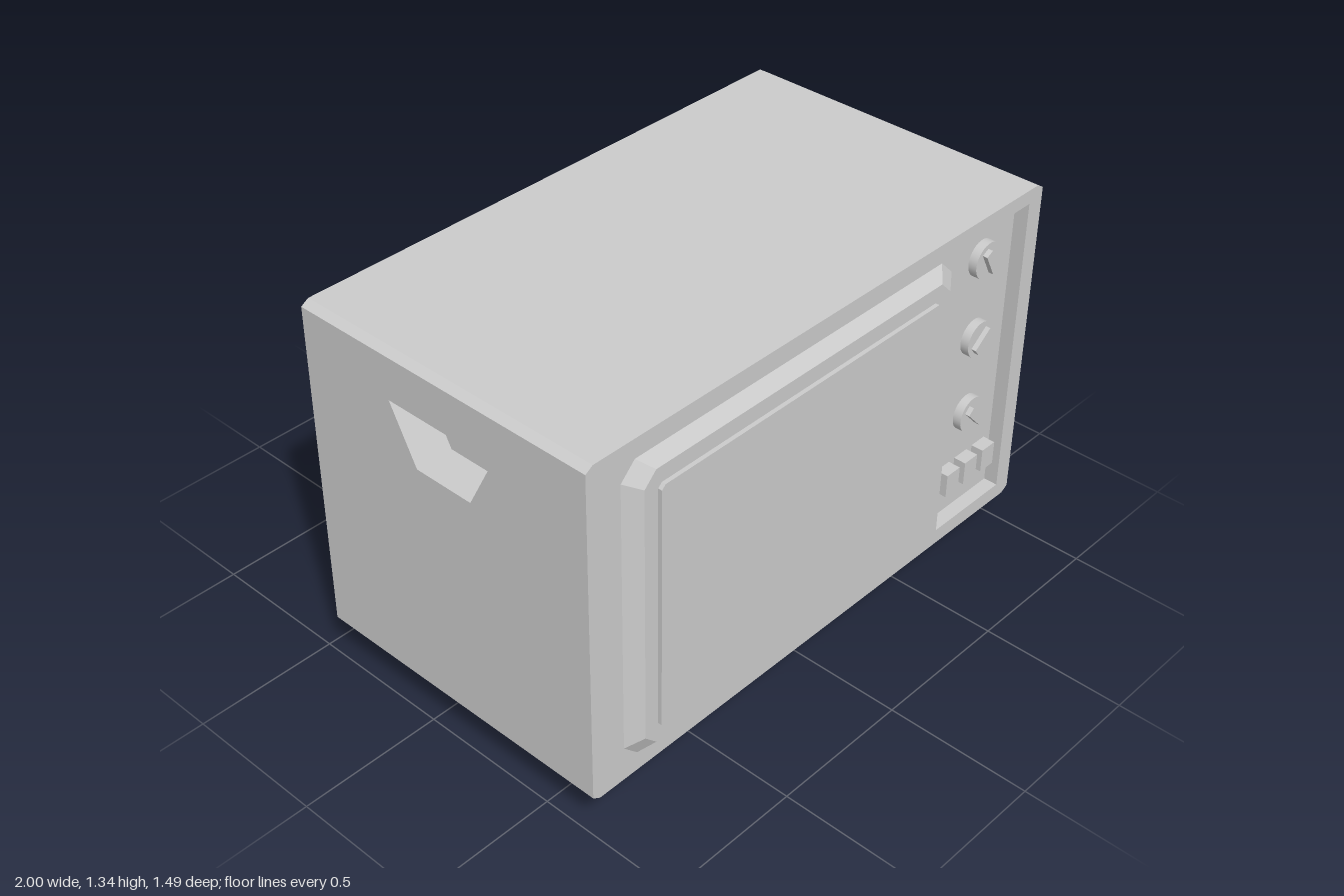
import * as THREE from 'three';

const flat = new THREE.MeshStandardMaterial({ color: 0xcccccc, flatShading: true });
const smooth = new THREE.MeshStandardMaterial({ color: 0xcccccc });

function add(parent, name, geometry, x = 0, y = 0, z = 0, material = flat) {
  const mesh = new THREE.Mesh(geometry, material);
  mesh.name = name;
  mesh.position.set(x, y, z);
  parent.add(mesh);
  return mesh;
}

const vectors = (points) => points.map(([x, y]) => new THREE.Vector2(x, y));

// Rectangle with cut corners, counterclockwise
function cutRect(x0, x1, y0, y1, cx, cy = cx) {
  return [
    [x0 + cx, y0], [x1 - cx, y0], [x1, y0 + cy], [x1, y1 - cy],
    [x1 - cx, y1], [x0 + cx, y1], [x0, y1 - cy], [x0, y0 + cy],
  ];
}

function rect(x0, x1, y0, y1) {
  return [[x0, y0], [x1, y0], [x1, y1], [x0, y1]];
}

function extrude(points, depth, hole) {
  const shape = new THREE.Shape(vectors(points));
  if (hole) shape.holes.push(new THREE.Path(vectors(hole)));
  return new THREE.ExtrudeGeometry(shape, { depth, bevelEnabled: false });
}

// Solid through counterclockwise outlines stacked along z, capped at both ends
function loft(sections) {
  const n = sections[0].points.length;
  const positions = sections.flatMap(({ points, z }) => points.flatMap(([x, y]) => [x, y, z]));
  const index = [];
  for (let s = 0; s < sections.length - 1; s++) {
    for (let i = 0; i < n; i++) {
      const a = s * n + i, b = s * n + (i + 1) % n;
      index.push(a, b, b + n, a, b + n, a + n);
    }
  }
  const last = (sections.length - 1) * n;
  for (const [a, b, c] of THREE.ShapeUtils.triangulateShape(vectors(sections[0].points), [])) index.push(c, b, a);
  for (const [a, b, c] of THREE.ShapeUtils.triangulateShape(vectors(sections.at(-1).points), [])) {
    index.push(a + last, b + last, c + last);
  }
  const geometry = new THREE.BufferGeometry();
  geometry.setAttribute('position', new THREE.Float32BufferAttribute(positions, 3));
  geometry.setIndex(index);
  const result = geometry.toNonIndexed();
  result.computeVertexNormals();
  return result;
}

// Cabinet: core, front plate with control recess, side plates with grip pockets
function createCabinet() {
  const cabinet = new THREE.Group();
  cabinet.name = 'cabinet';
  const back = -0.44, front = 0.695, recess = 0.05, pocket = 0.13;
  const low = 0.152, high = 1.318, inner = 1 - pocket;
  const core = [
    [-0.973, 0.135], [0.973, 0.135], [1, low], [inner, low], [inner, high], [1, high],
    [0.973, 1.335], [-0.973, 1.335], [-1, high], [-inner, high], [-inner, low], [-1, low],
  ];
  add(cabinet, 'cabinetCore', extrude(core, front - recess - back), 0, 0, back);
  add(cabinet, 'frontPlate',
    extrude(cutRect(-1, 1, 0.135, 1.335, 0.027, 0.017), recess, rect(0.6, 0.935, 0.19, 1.285)),
    0, 0, front - recess);
  for (const side of [1, -1]) {
    const turn = ([z, y]) => [-side * z, y];
    const outline = rect(back, front - recess, low, high).map(turn);
    const grip = [[0.02, 0.98], [0.24, 0.98], [0.34, 1.17], [-0.08, 1.17]].map(turn);
    const plate = extrude(outline, pocket, grip).rotateY(side * Math.PI / 2);
    add(cabinet, side > 0 ? 'leftSidePlate' : 'rightSidePlate', plate, side * inner);
  }
  return cabinet;
}

// Screen: bevelled surround and slightly raised glass
function createScreen() {
  const screen = new THREE.Group();
  screen.name = 'screen';
  add(screen, 'screenSurround', loft([
    { points: cutRect(-0.88, 0.555, 0.2, 1.275, 0.055), z: 0.69 },
    { points: cutRect(-0.822, 0.497, 0.242, 1.232, 0.045), z: 0.732 },
  ]));
  add(screen, 'screenGlass', extrude(cutRect(-0.77, 0.44, 0.298, 1.178, 0.014), 0.02), 0, 0, 0.726);
  return screen;
}

// Controls standing in the recess
function createControls() {
  const controls = new THREE.Group();
  controls.name = 'controls';
  for (const [y, angle] of [[1.145, 118], [0.852, 38], [0.56, 133]]) {
    const knob = new THREE.Group();
    knob.name = 'knob';
    knob.position.set(0.772, y, 0.645);
    knob.rotation.z = THREE.MathUtils.degToRad(angle);
    const disc = new THREE.CylinderGeometry(0.063, 0.063, 0.03, 32).rotateX(Math.PI / 2);
    add(knob, 'knobDisc', disc, 0, 0, 0.015, smooth);
    add(knob, 'knobGrip', new THREE.BoxGeometry(0.088, 0.03, 0.02), 0, 0, 0.037);
    controls.add(knob);
  }
  for (const x of [0.678, 0.773, 0.868]) {
    add(controls, 'pushButton', new THREE.BoxGeometry(0.066, 0.086, 0.045), x, 0.342, 0.667);
  }
  return controls;
}

// Tapered rear housing with comb-shaped ventilation slots along its top
function createRearHousing() {
  const housing = new THREE.Group();
  housing.name = 'rearHousing';
  const slots = 9, rib = 0.0332, half = rib * (slots - 0.5);
  function section(halfWidth, bottom, top) {
    const points = [[-halfWidth, bottom], [halfWidth, bottom], [halfWidth, top]];
    for (let i = 0; i < slots; i++) {
      const x = half - 2 * rib * i;
      points.push([x, top], [x, top - 0.07], [x - rib, top - 0.07], [x - rib, top]);
    }
    points.push([-halfWidth, top]);
    return points;
  }
  add(housing, 'ventedHousing', loft([
    { points: section(0.628, 0.36, 1.112), z: 0.44 },
    { points: section(0.313, 0.55, 0.925), z: 0.742 },
  ]).rotateY(Math.PI));
  add(housing, 'connectorBox', new THREE.BoxGeometry(0.54, 0.29, 0.145), 0, 0.355, -0.5025);
  return housing;
}

export function createModel() {
  const model = new THREE.Group();
  model.name = 'television';
  model.add(createCabinet(), createScreen(), createControls(), createRearHousing());

  // Plinth with two slopes
  const plinth = loft([[0.762, 0.415, 0], [0.82, 0.447, 0.042], [0.885, 0.481, 0.14]]
    .map(([w, d, z]) => ({ points: rect(-w, w, -d, d), z })));
  add(model, 'plinth', plinth.rotateX(-Math.PI / 2), 0, 0, 0.129);
  return model;
}
